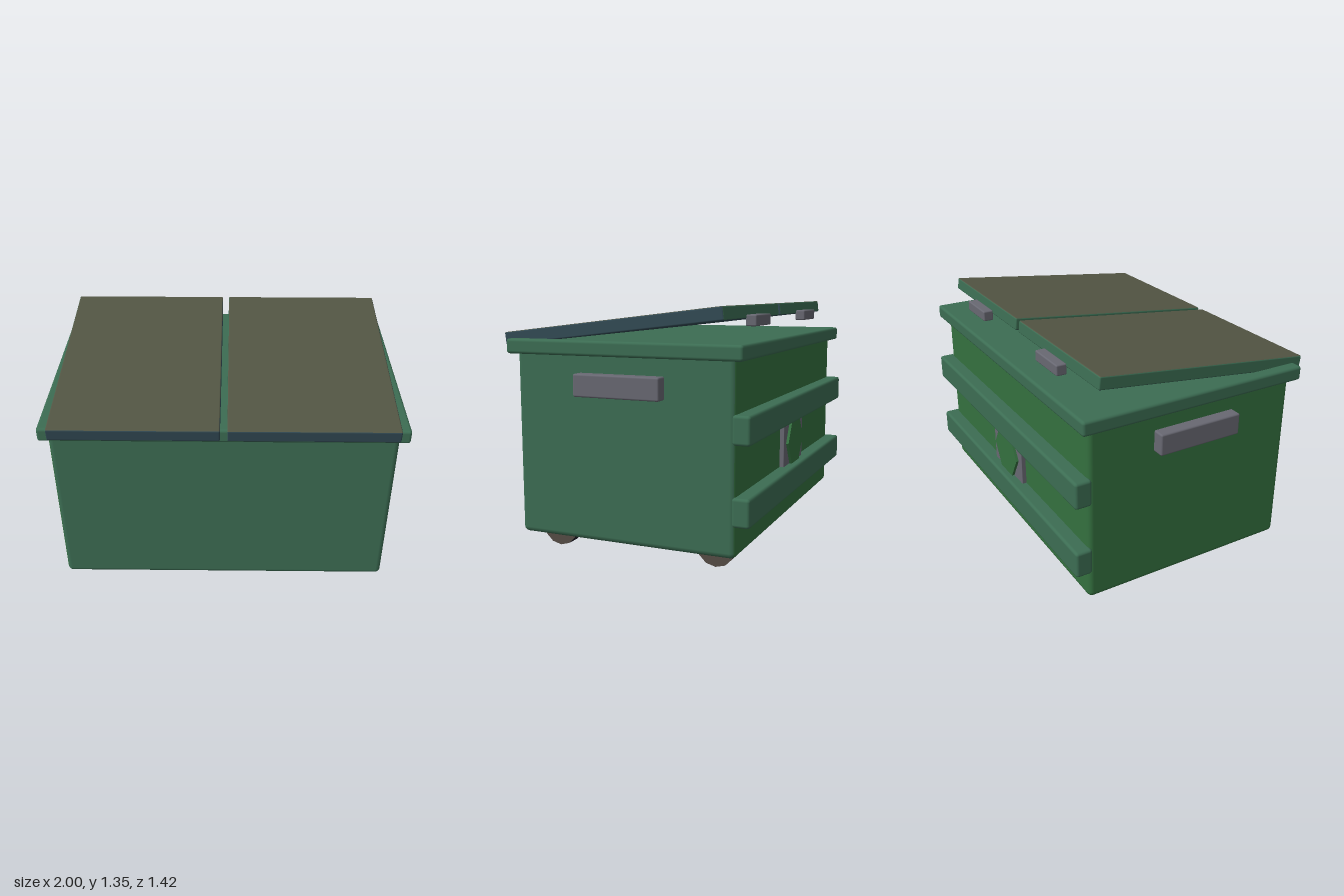
import * as THREE from 'three';
import { RoundedBoxGeometry } from 'three/addons/geometries/RoundedBoxGeometry.js';

const mat = (name, color) => {
  const m = new THREE.MeshStandardMaterial({ color });
  m.name = name;
  return m;
};

export function createModel() {
  const model = new THREE.Group();
  model.name = 'wasteContainer';

  const teal = mat('tealGreen', 0x3c6d53);
  const green = mat('leafGreen', 0x34703f);
  const olive = mat('lidOlive', 0x535644);
  const slate = mat('lidSlate', 0x324a54);
  const grey = mat('metalGrey', 0x686872);
  const hub = mat('wheelBrown', 0x544c45);
  const tyre = mat('tyreBlack', 0x23212c);

  // Soft-edged box from its lower and upper corners
  const box = (name, min, max, radius, material) => {
    const size = max.map((v, i) => v - min[i]);
    const mesh = new THREE.Mesh(new RoundedBoxGeometry(...size, 2, radius), material);
    mesh.position.set(...max.map((v, i) => (v + min[i]) / 2));
    mesh.name = name;
    model.add(mesh);
    return mesh;
  };

  // Container: leaf green on the back and the -x side
  box('body', [-0.935, 0.1, -0.63], [0.935, 1.12, 0.62], 0.03,
    [teal, green, teal, teal, teal, green]);
  box('rim', [-0.98, 1.09, -0.68], [0.98, 1.17, 0.66], 0.016, teal);

  // Rails across the back
  for (const y of [0.27, 0.68]) {
    box('backRail', [-0.95, y, -0.71], [0.95, y + 0.15, -0.615], 0.016, teal);
  }

  // Badge plate with a raised hexagon
  box('badgePlate', [-0.19, 0.38, -0.655], [0.19, 0.72, -0.62], 0.003, grey);
  const hexagon = new THREE.Mesh(
    new THREE.CylinderGeometry(0.15, 0.15, 0.03, 6).rotateY(Math.PI / 2).rotateX(Math.PI / 2), green);
  hexagon.geometry = hexagon.geometry.toNonIndexed();
  hexagon.geometry.computeVertexNormals();
  hexagon.position.set(0, 0.55, -0.655);
  hexagon.name = 'badgeHexagon';
  model.add(hexagon);

  for (const s of [-1, 1]) {
    // Sloping lid, hinge bar and side handle
    const lid = box('lid', [s * 0.468 - 0.45, 1.205, -0.561], [s * 0.468 + 0.45, 1.275, 0.711], 0.008,
      [slate, teal, olive, slate, slate, teal]);
    lid.rotation.x = 0.119;
    box('hinge', [s * 0.468 - 0.123, 1.24, -0.615], [s * 0.468 + 0.123, 1.3, -0.555], 0.008, grey);
    box('sideHandle', [s * 0.96 - 0.04, 0.88, -0.25], [s * 0.96 + 0.04, 1.0, 0.24], 0.01, grey);

    // Wheels
    for (const z of [0.465, -0.475]) {
      const wheel = new THREE.Mesh(
        new THREE.CylinderGeometry(0.107, 0.107, 0.09, 12).rotateZ(Math.PI / 2), [tyre, hub, hub]);
      wheel.position.set(s * 0.75, 0.107, z);
      wheel.name = 'wheel';
      model.add(wheel);
    }
  }

  return model;
}
